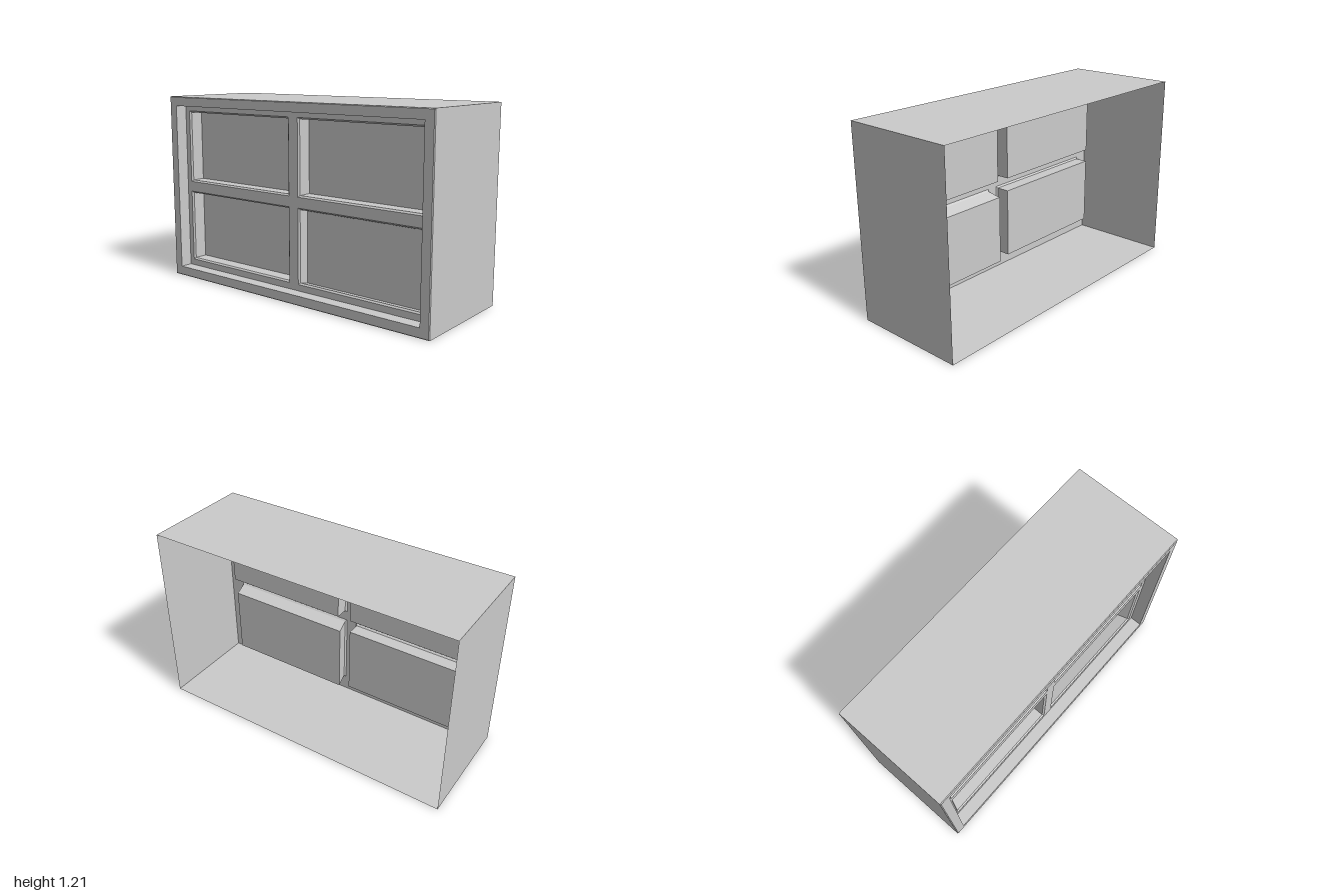
import * as THREE from 'three';

const material = new THREE.MeshStandardMaterial({ color: 0xcccccc, side: THREE.DoubleSide });

// Four corners of an upright rectangle, counter-clockwise seen from the front
const ring = (x0, x1, y0, y1, z) => [[x0, y0, z], [x1, y0, z], [x1, y1, z], [x0, y1, z]];

// Flat-sided sheet joining successive rectangles, optionally closed at the last one
function loft(rings, closeEnd = false) {
  const points = [];
  const quad = (a, b, c, d) => points.push(...a, ...b, ...c, ...a, ...c, ...d);
  for (let r = 0; r < rings.length - 1; r++) {
    for (let i = 0; i < 4; i++) {
      const j = (i + 1) % 4;
      quad(rings[r][i], rings[r][j], rings[r + 1][j], rings[r + 1][i]);
    }
  }
  if (closeEnd) quad(...rings[rings.length - 1]);
  const geometry = new THREE.BufferGeometry();
  geometry.setAttribute('position', new THREE.Float32BufferAttribute(points, 3));
  geometry.computeVertexNormals();
  return geometry;
}

export function createModel() {
  const group = new THREE.Group();
  const add = (name, geometry) => {
    const mesh = new THREE.Mesh(geometry, material);
    mesh.name = name;
    group.add(mesh);
    return mesh;
  };

  const H = 1.205, front = 0.365, faceZ = 0.285, backZ = 0.19;
  const inset = (d, z) => ring(-1 + d, 1 - d, d, H - d, z);

  // Open-backed case with a small front bevel, a flat rim and a reveal
  add('caseShell', loft([
    inset(0, -front), inset(0, front - 0.005), inset(0.005, front),
    inset(0.06, front), inset(0.06, faceZ),
  ]));

  // Four bays; one has its back panel slipped sideways and down
  const bays = [];
  for (const [y0, y1] of [[0.1, 0.572], [0.638, 1.11]]) {
    for (const [x0, x1] of [[-0.905, -0.035], [0.035, 0.905]]) {
      const slipped = x0 > 0 && y0 < 0.5;
      bays.push({ x0, x1, y0, y1, dx: slipped ? -0.015 : 0, dy: slipped ? -0.024 : 0 });
    }
  }

  // Recessed face with the bay openings, reaching out to the case walls
  const shape = new THREE.Shape([[-1, 0], [1, 0], [1, H], [-1, H]].map(p => new THREE.Vector2(...p)));
  for (const { x0, x1, y0, y1 } of bays) {
    shape.holes.push(new THREE.Path([[x0, y0], [x0, y1], [x1, y1], [x1, y0]].map(p => new THREE.Vector2(...p))));
  }
  add('dividerFace', new THREE.ShapeGeometry(shape)).position.z = faceZ;

  // Bay pockets: bevelled lip, walls and back panel
  const b = 0.01;
  for (const { x0, x1, y0, y1, dx, dy } of bays) {
    const name = (y0 > 0.5 ? 'upper' : 'lower') + (x0 > 0 ? 'Left' : 'Right') + 'Bay';
    add(name, loft([
      ring(x0, x1, y0, y1, faceZ),
      ring(x0 + b, x1 - b, y0 + b, y1 - b, faceZ - b),
      ring(x0 + b + dx, x1 - b + dx, y0 + b + dy, y1 - b + dy, backZ),
    ], true));
  }
  return group;
}
